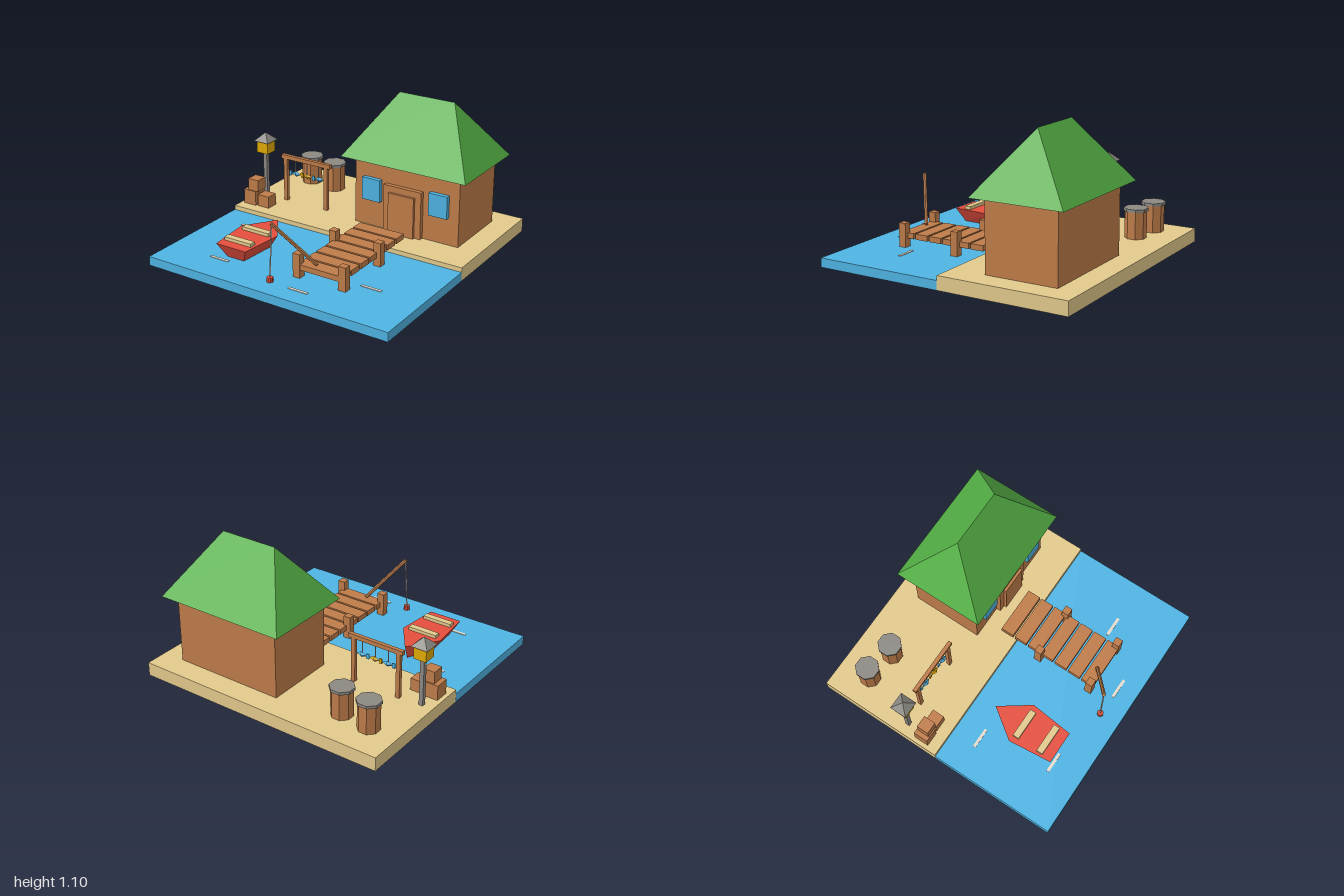
import * as THREE from 'three';

const mat = (name, color, side = THREE.FrontSide) => {
  const m = new THREE.MeshStandardMaterial({ color, side, flatShading: true });
  m.name = name;
  return m;
};

export function createModel() {
  const sand = mat('sand', 0xe2ca8c, THREE.DoubleSide), water = mat('water blue', 0x4fb4e3, THREE.DoubleSide);
  const wood = mat('wood', 0xbf7c49), green = mat('roof green', 0x55b045), red = mat('boat red', 0xe54f3e);
  const grey = mat('grey', 0x8c8983), yellow = mat('lantern yellow', 0xe0aa05), pale = mat('pale ripple', 0xe6dccf);
  const root = new THREE.Group();
  root.name = 'fishingDock';

  const add = (name, geo, m, x = 0, y = 0, z = 0, parent = root) => {
    const mesh = new THREE.Mesh(geo, m);
    mesh.name = name;
    mesh.position.set(x, y, z);
    parent.add(mesh);
    return mesh;
  };
  const group = (name) => {
    const g = new THREE.Group();
    g.name = name;
    root.add(g);
    return g;
  };
  // Box given by its extents
  const box = (name, m, x0, x1, y0, y1, z0, z1, parent) =>
    add(name, new THREE.BoxGeometry(x1 - x0, y1 - y0, z1 - z0), m,
      (x0 + x1) / 2, (y0 + y1) / 2, (z0 + z1) / 2, parent);
  // Box without its bottom face
  const openBox = (...args) => {
    const geo = box(...args).geometry;
    geo.setIndex(Array.from(geo.index.array).filter((_, i) => i < 18 || i >= 24));
    geo.clearGroups();
  };
  // Straight rod between two points
  const rod = (name, m, a, b, r, sides, parent) => {
    const p = new THREE.Vector3(...a), d = new THREE.Vector3(...b).sub(p);
    const mesh = add(name, new THREE.CylinderGeometry(r, r, d.length(), sides), m, 0, 0, 0, parent);
    mesh.position.copy(p).addScaledVector(d, 0.5);
    mesh.quaternion.setFromUnitVectors(new THREE.Vector3(0, 1, 0), d.normalize());
  };
  // Closed solid between two [x, z] outlines, counterclockwise from above
  const loft = (low, y0, high, y1) => {
    const v = [], n = low.length;
    const L = (i) => [low[i % n][0], y0, low[i % n][1]];
    const H = (i) => [high[i % n][0], y1, high[i % n][1]];
    for (let i = 0; i < n; i++) {
      v.push(...L(i), ...L(i + 1), ...H(i + 1), ...L(i), ...H(i + 1), ...H(i));
      if (i > 0 && i < n - 1) v.push(...H(0), ...H(i), ...H(i + 1), ...L(0), ...L(i + 1), ...L(i));
    }
    const g = new THREE.BufferGeometry();
    g.setAttribute('position', new THREE.Float32BufferAttribute(v, 3));
    g.computeVertexNormals();
    return g;
  };
  const rect = (x0, x1, z0, z1) => [[x0, z1], [x1, z1], [x1, z0], [x0, z0]];

  // Ground and water, hollow from below
  openBox('shore', sand, -1, 1, 0, 0.105, -1, 0);
  openBox('water', water, -1, 1, 0, 0.07, 0.001, 1);
  for (const [x, z] of [[-0.7, 0.2], [-0.55, 0.755], [0.6, 0.55], [0.2, 0.85]])
    box('ripple', pale, x - 0.08, x + 0.08, 0.071, 0.075, z - 0.011, z + 0.011);

  // House
  const house = group('house');
  box('walls', wood, -0.05, 0.825, 0.106, 0.64, -0.825, -0.27, house);
  add('roof', loft(rect(-0.133, 0.905, -0.905, -0.19), 0.638,
    rect(0.157, 0.613, -0.547, -0.547), 1.095), green, 0, 0, 0, house);
  box('doorFrame', wood, 0.215, 0.53, 0.106, 0.477, -0.275, -0.235, house);
  box('door', wood, 0.265, 0.48, 0.106, 0.427, -0.24, -0.214, house);
  for (const x of [0.105, 0.667])
    box('window', water, x - 0.076, x + 0.076, 0.32, 0.495, -0.275, -0.235, house);

  // Dock
  const dock = group('dock');
  for (let i = 0; i < 7; i++) {
    const z = -0.08 + i * 0.12;
    box('plank', wood, 0.08, 0.452, 0.134, 0.176, z - 0.052, z + 0.052, dock);
  }
  for (const x of [0.077, 0.453])
    for (const z of [0.215, 0.667])
      box('dockPost', wood, x - 0.029, x + 0.029, 0.071, 0.252, z - 0.028, z + 0.028, dock);

  // Fishing rod, line and float
  const fishing = group('fishingRod');
  rod('rod', wood, [0.215, 0.185, 0.642], [-0.03, 0.505, 0.828], 0.014, 6, fishing);
  rod('line', pale, [-0.028, 0.5, 0.826], [-0.042, 0.09, 0.84], 0.006, 4, fishing);
  add('float', new THREE.CylinderGeometry(0.024, 0.024, 0.042, 8), red, -0.042, 0.083, 0.84, fishing);

  // Rowing boat
  const boat = group('boat');
  const rim = [[-0.455, 0.175], [-0.62, 0.405], [-0.585, 0.745], [-0.325, 0.745], [-0.29, 0.405]];
  const keel = rim.map(([x, z]) => [-0.455 + (x + 0.455) * 0.56, 0.405 + (z - 0.405) * 0.84]);
  add('hull', loft(keel, 0.071, rim, 0.18), red, 0, 0, 0, boat);
  for (const z of [0.432, 0.64])
    box('bench', sand, -0.572, -0.338, 0.178, 0.205, z - 0.025, z + 0.025, boat);

  // Fish drying rack
  const rack = group('dryingRack');
  for (const x of [-0.725, -0.35])
    box('rackPost', wood, x - 0.016, x + 0.016, 0.106, 0.456, -0.334, -0.306, rack);
  box('rackBeam', wood, -0.76, -0.308, 0.454, 0.486, -0.335, -0.305, rack);
  [water, yellow, water].forEach((m, i) => {
    const x = -0.638 + i * 0.108;
    rod('string', pale, [x, 0.35, -0.32], [x, 0.456, -0.32], 0.004, 4, rack);
    add('fishBody', new THREE.OctahedronGeometry(1), m, x + 0.007, 0.343, -0.32, rack).scale.set(0.042, 0.023, 0.02);
    box('fishTail', m, x - 0.056, x - 0.034, 0.324, 0.362, -0.325, -0.315, rack);
  });

  // Barrels
  for (const [x, z] of [[-0.775, -0.75], [-0.535, -0.72]]) {
    const b = group('barrel');
    b.position.set(x, 0, z);
    b.rotation.y = Math.PI / 8;
    add('barrelBody', new THREE.CylinderGeometry(0.082, 0.082, 0.21, 8), wood, 0, 0.211, 0, b);
    add('barrelLid', new THREE.CylinderGeometry(0.092, 0.092, 0.022, 8), grey, 0, 0.323, 0, b);
  }

  // Lantern post
  const lantern = group('lantern');
  box('lanternPost', grey, -0.923, -0.891, 0.106, 0.482, -0.318, -0.286, lantern);
  box('lanternLight', yellow, -0.957, -0.857, 0.48, 0.58, -0.352, -0.252, lantern);
  add('lanternRoof', loft(rect(-0.973, -0.841, -0.368, -0.236), 0.575,
    rect(-0.907, -0.907, -0.302, -0.302), 0.64), grey, 0, 0, 0, lantern);

  // Crates
  const crates = group('crates');
  box('bigCrate', wood, -0.968, -0.858, 0.106, 0.222, -0.2, -0.085, crates);
  box('topCrate', wood, -0.932, -0.838, 0.222, 0.315, -0.19, -0.095, crates);
  box('smallCrate', wood, -0.842, -0.74, 0.106, 0.2, -0.19, -0.093, crates);
  return root;
}
